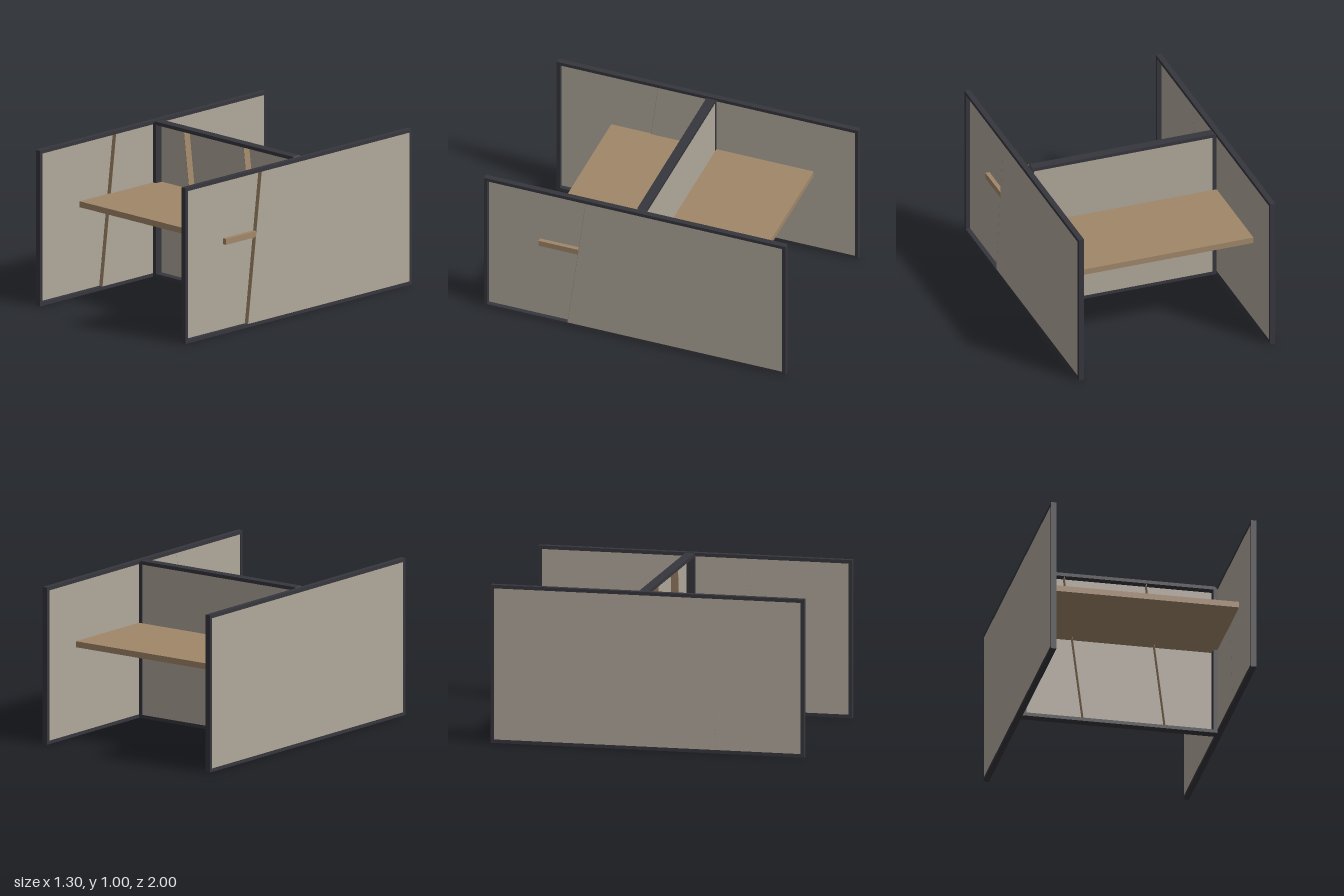
import * as THREE from 'three';

const mat = (name, color) => {
  const m = new THREE.MeshStandardMaterial({ color });
  m.name = name;
  return m;
};

export function createModel() {
  const frameMat = mat('charcoal frame', 0x36363d);
  const fabricMat = mat('grey fabric', 0xb0a89b);
  const woodMat = mat('wood', 0xa1876a);
  const model = new THREE.Group();
  model.name = 'deskPod';

  const add = (parent, name, geometry, material) => {
    const mesh = new THREE.Mesh(geometry, material);
    mesh.name = name;
    parent.add(mesh);
    return mesh;
  };
  // box given by its min and max corners
  const box = (parent, name, material, a, b) => {
    const mesh = add(parent, name, new THREE.BoxGeometry(b[0] - a[0], b[1] - a[1], b[2] - a[2]), material);
    mesh.position.set((a[0] + b[0]) / 2, (a[1] + b[1]) / 2, (a[2] + b[2]) / 2);
    return mesh;
  };
  const polygon = (points) => new THREE.Shape(points.map(([x, y]) => new THREE.Vector2(x, y)));
  const extrude = (shape, depth) => new THREE.ExtrudeGeometry(shape, { depth, bevelEnabled: false });
  // extrusion drawn in (-z, y), growing towards +x
  const extrudeX = (shape, depth) => extrude(shape, depth).rotateY(Math.PI / 2);
  const rect = (w, y0, y1) => polygon([[-w, y0], [w, y0], [w, y1], [-w, y1]]);

  // side screens: frame, flush fabric behind a slanted edge, recessed fabric ahead of it
  const T = 0.035, B = 0.022, zTop = 0.325, zBottom = 0.445;
  for (const [name, x] of [['leftScreen', 0.617], ['rightScreen', -0.652]]) {
    const screen = new THREE.Group();
    screen.name = name;
    screen.position.x = x;
    model.add(screen);

    const frame = rect(1, 0, 1);
    frame.holes.push(rect(1 - B, B, 1 - B));
    add(screen, 'screenFrame', extrudeX(frame, T), frameMat);

    box(screen, 'recessedFabric', fabricMat, [0.001, B, 0], [0.006, 1 - B, 1 - B]);

    const flush = polygon([[-zBottom, B], [1 - B, B], [1 - B, 1 - B], [-zTop, 1 - B]]);
    add(screen, 'flushFabric', extrudeX(flush, T - 0.002), fabricMat).position.x = 0.001;

    const edge = polygon([[-zBottom - 0.002, B], [-zBottom, B], [-zTop, 1 - B], [-zTop - 0.002, 1 - B]]);
    add(screen, 'slantedEdge', extrudeX(edge, T - 0.002), woodMat).position.x = 0.001;
  }

  // middle divider with clipped top corners
  const divider = new THREE.Group();
  divider.name = 'divider';
  model.add(divider);
  const W = 0.617, I = 0.592;
  const dividerFrame = polygon([[-W, 0], [W, 0], [W, 0.985], [0.6, 1], [-0.6, 1], [-W, 0.985]]);
  dividerFrame.holes.push(rect(I, B, 1 - B));
  add(divider, 'dividerFrame', extrude(dividerFrame, 0.06), frameMat).position.z = -0.06;
  box(divider, 'dividerFabric', fabricMat, [-I, B, -0.059], [I, 1 - B, -0.05]);

  // thin slanted slats standing in the divider recess
  for (const x of [-0.23, 0.29]) {
    const slat = polygon([[x - 0.002, B], [x, B], [x - 0.12, 1 - B], [x - 0.122, 1 - B]]);
    add(divider, 'slantedSlat', extrude(slat, 0.048), woodMat).position.z = -0.05;
  }

  // desktops on both sides of the divider; the front one is let into the left screen
  box(model, 'frontDesktop', woodMat, [-0.625, 0.567, -0.05], [0.65, 0.605, 0.64]);
  box(model, 'backDesktop', woodMat, [-0.625, 0.567, -0.705], [0.625, 0.605, -0.06]);

  return model;
}
